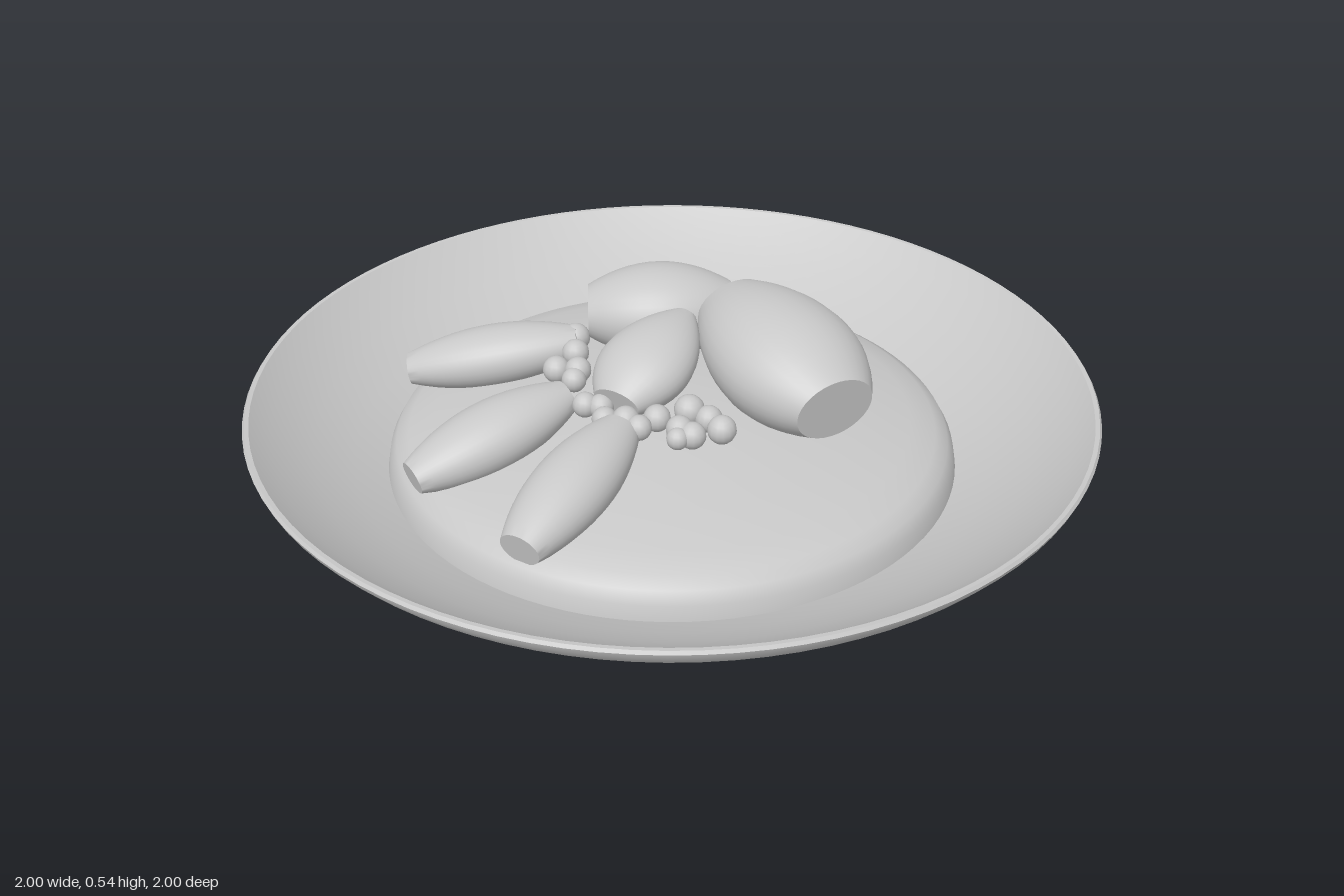
import * as THREE from 'three';
import { toCreasedNormals } from 'three/addons/utils/BufferGeometryUtils.js';

export function createModel() {
  const model = new THREE.Group();
  const grey = new THREE.MeshStandardMaterial({ color: 0xc8c8c8 });
  grey.name = 'plainGrey';

  const add = (name, geometry) => {
    const mesh = new THREE.Mesh(geometry, grey);
    mesh.name = name;
    model.add(mesh);
    return mesh;
  };
  const lathe = (points, sides) => toCreasedNormals(
    new THREE.LatheGeometry(points.map(([r, y]) => new THREE.Vector2(r, y)), sides), 0.6);

  // Dish: foot, ledge, flared wall, thin rim and domed floor in one turned profile
  add('dish', lathe([
    [0, 0], [0.55, 0], [0.565, 0.02], [0.585, 0.035], [0.64, 0.055], [0.706, 0.068],
    [0.697, 0.09], [0.685, 0.092], [0.79, 0.15], [0.9, 0.22], [0.97, 0.275], [0.995, 0.305],
    [1, 0.318], [0.995, 0.325], [0.985, 0.324], [0.94, 0.285], [0.85, 0.225], [0.76, 0.175],
    [0.683, 0.14], [0.676, 0.175], [0.66, 0.203], [0.63, 0.222], [0.57, 0.24],
    [0.45, 0.262], [0.3, 0.285], [0.15, 0.302], [0, 0.31],
  ], 96));

  // Barrel-shaped piece with flat ends, lying from one point to another
  function barrel(name, from, to, r0, rMid, r1, flat, fullest = 0.5) {
    const a = new THREE.Vector3(...from), b = new THREE.Vector3(...to);
    const dir = b.clone().sub(a), length = dir.length();
    dir.normalize();
    const side = dir.clone().cross(new THREE.Vector3(0, 1, 0)).normalize();
    const up = side.clone().cross(dir);
    const points = [[0, 0]];
    const steps = 14;
    for (let i = 0; i <= steps; i++) {
      const t = i / steps;
      const end = t < fullest ? r0 : r1;
      const k = t < fullest ? 1 - t / fullest : (t - fullest) / (1 - fullest);
      points.push([rMid + (end - rMid) * k * k, t * length]);
    }
    points.push([0, length]);
    const geometry = lathe(points, 32);
    geometry.scale(1, 1, flat);
    geometry.applyMatrix4(new THREE.Matrix4().makeBasis(side, dir, up).setPosition(a));
    geometry.computeBoundingSphere();
    add(name, geometry);
  }

  // Two large pieces at the back and one leaning in the middle
  barrel('largePiece', [0.035, 0.435, -0.215], [0.435, 0.385, -0.01], 0.1, 0.175, 0.1, 0.76, 0.55);
  barrel('backPiece', [-0.285, 0.4, -0.055], [0, 0.405, -0.26], 0.075, 0.135, 0.075, 0.83);
  barrel('middlePiece', [-0.03, 0.445, -0.1], [-0.015, 0.355, 0.205], 0.03, 0.115, 0.06, 0.65, 0.6);

  // Three slender pieces fanned out toward the front
  barrel('leftSlice', [-0.275, 0.345, 0.005], [-0.61, 0.275, 0.25], 0.045, 0.088, 0.045, 0.82);
  barrel('centreSlice', [-0.15, 0.335, 0.215], [-0.305, 0.25, 0.585], 0.045, 0.095, 0.045, 0.8);
  barrel('frontSlice', [0.03, 0.325, 0.25], [0.058, 0.245, 0.655], 0.05, 0.094, 0.05, 0.8);

  // Small beads scattered between the pieces: x, y, z, radius
  const beads = [
    [-0.285, 0.35, 0.0, 0.035], [-0.245, 0.345, 0.055, 0.033], [-0.25, 0.33, 0.125, 0.033],
    [-0.2, 0.335, 0.105, 0.032], [-0.19, 0.325, 0.135, 0.03], [-0.085, 0.34, 0.23, 0.03],
    [-0.05, 0.34, 0.215, 0.03], [-0.015, 0.335, 0.25, 0.03], [0.03, 0.34, 0.23, 0.032],
    [0.07, 0.335, 0.235, 0.03], [0.085, 0.34, 0.185, 0.032], [0.13, 0.345, 0.12, 0.036],
    [0.14, 0.325, 0.175, 0.032], [0.155, 0.32, 0.205, 0.026], [0.18, 0.335, 0.115, 0.032],
    [0.175, 0.32, 0.175, 0.032], [0.225, 0.33, 0.13, 0.034],
  ];
  const beadGeometry = new THREE.SphereGeometry(1, 14, 10);
  for (const [x, y, z, r] of beads) {
    const bead = add('bead', beadGeometry);
    bead.position.set(x, y, z);
    bead.scale.setScalar(r);
  }
  return model;
}
